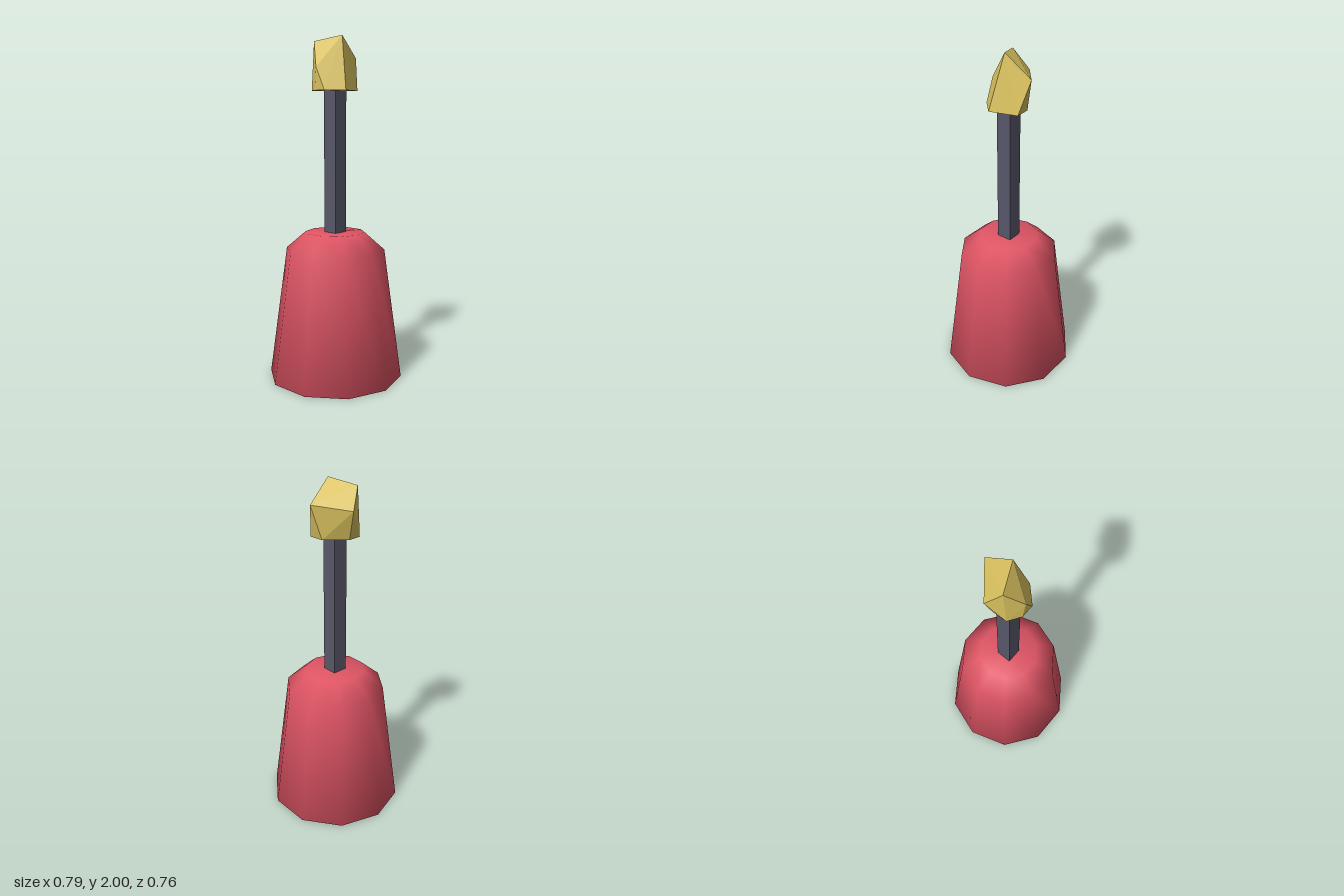
import * as THREE from 'three';
import { ConvexGeometry } from 'three/addons/geometries/ConvexGeometry.js';

function material(name, color, flatShading = false) {
  const m = new THREE.MeshStandardMaterial({ color, flatShading });
  m.name = name;
  return m;
}

export function createModel() {
  const group = new THREE.Group();
  const red = material('red', 0xe05565);
  const slate = material('slate', 0x585769);
  const gold = material('gold', 0xd9c15e, true);

  const add = (name, geometry, mat) => {
    const mesh = new THREE.Mesh(geometry, mat);
    mesh.name = name;
    group.add(mesh);
    return mesh;
  };

  // Ten-sided tapered body, closed and smoothly shaded over every ring
  const profile = [[0, 0], [0.397, 0], [0.291, 0.77], [0.175, 0.87], [0, 0.87]]
    .map(([r, y]) => new THREE.Vector2(r, y));
  add('body', new THREE.LatheGeometry(profile, 10, Math.PI / 10), red);

  // Square stem
  const stem = add('stem', new THREE.BoxGeometry(0.09, 0.82, 0.09), slate);
  stem.position.y = 1.28;

  // Faceted irregular nugget with a flat base
  const corners = [
    [0.045, 2.0, -0.01], [-0.11, 1.97, 0.06], [-0.16, 1.855, -0.015],
    [0.015, 1.88, -0.16], [-0.025, 1.82, 0.13],
    [0.12, 1.69, 0.04], [0.068, 1.69, -0.115], [0.035, 1.69, 0.125],
    [-0.04, 1.69, 0.125], [-0.11, 1.69, 0.08], [-0.115, 1.69, 0.0],
    [-0.02, 1.69, -0.11],
  ].map((p) => new THREE.Vector3(...p));
  add('nugget', new ConvexGeometry(corners), gold);

  return group;
}
